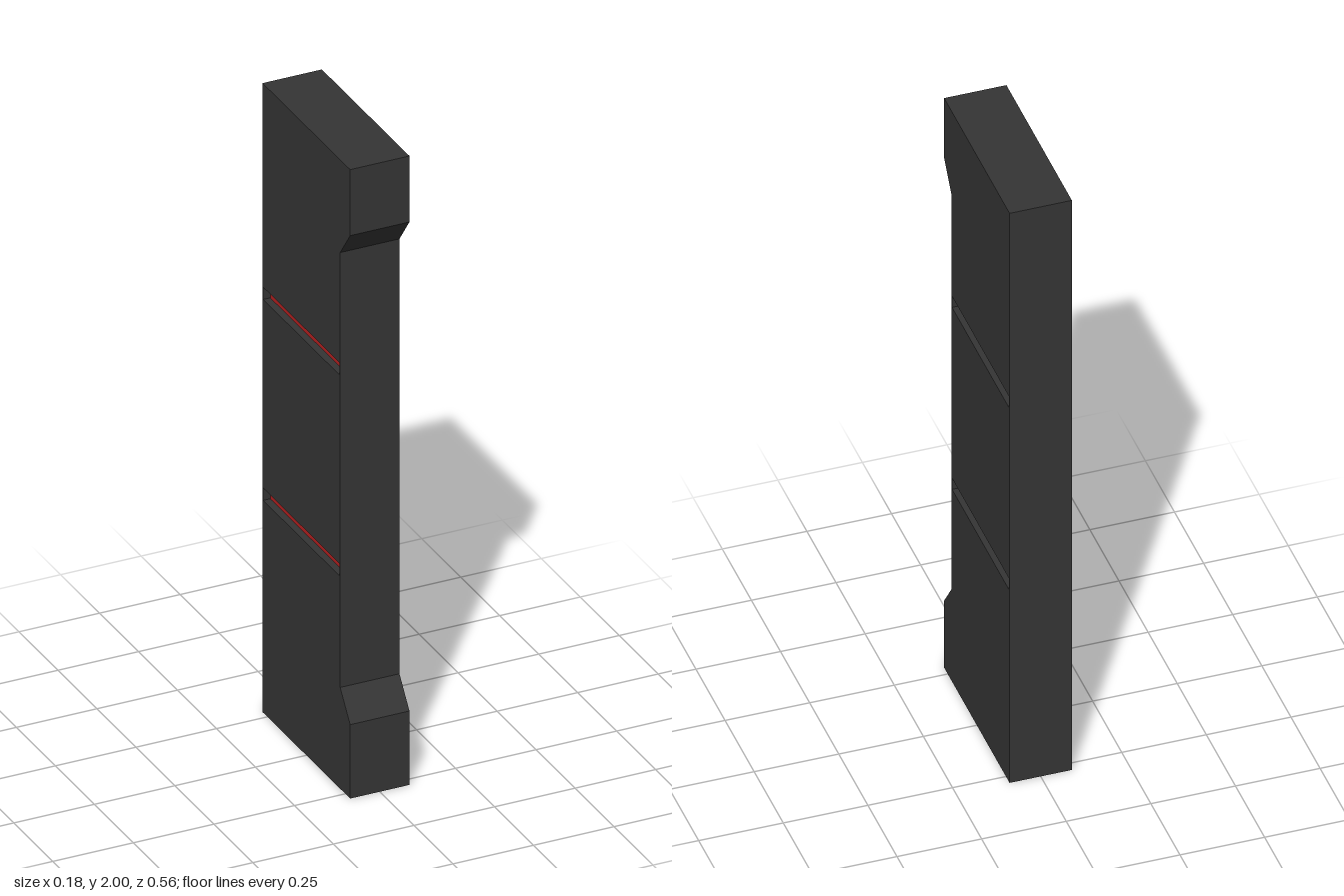
import * as THREE from 'three';

const HALF_W = 0.092, FRONT = 0.281, BACK = -0.281, WAIST = 0.217;
const GROOVE_DEPTH = 0.022, CAP = 0.004;
const GROOVES = [[0.675, 0.714], [1.314, 1.353]];

export function createModel() {
  const model = new THREE.Group();
  const charcoal = new THREE.MeshStandardMaterial({ color: 0x353535 });
  charcoal.name = 'charcoal';
  const red = new THREE.MeshStandardMaterial({ color: 0xb82020 });
  red.name = 'red';

  const add = (name, geometry, material) => {
    const mesh = new THREE.Mesh(geometry, material);
    mesh.name = name;
    model.add(mesh);
  };

  // Extrude a side profile of [z, y] points across the full width
  const slab = (name, points) => {
    const shape = new THREE.Shape(points.map(([z, y]) => new THREE.Vector2(z, y)));
    const geometry = new THREE.ExtrudeGeometry(shape, { depth: HALF_W * 2, bevelEnabled: false });
    geometry.translate(0, 0, -HALF_W).rotateY(-Math.PI / 2);
    add(name, geometry, charcoal);
  };

  const box = (name, halfW, y0, y1, z0, z1, material) => {
    const geometry = new THREE.BoxGeometry(halfW * 2, y1 - y0, z1 - z0);
    geometry.translate(0, (y0 + y1) / 2, (z0 + z1) / 2);
    add(name, geometry, material);
  };

  const [[a0, a1], [b0, b1]] = GROOVES;

  // Lower and upper ends, with sloped shoulders on the front
  slab('lowerBody', [[BACK, 0], [FRONT, 0], [FRONT, 0.235], [WAIST, 0.322], [WAIST, a0], [BACK, a0]]);
  slab('upperBody', [[BACK, b1], [WAIST, b1], [WAIST, 1.705], [FRONT, 1.79], [FRONT, 2], [BACK, 2]]);
  slab('middleBody', [[BACK, a1], [WAIST, a1], [WAIST, b0], [BACK, b0]]);

  // Red recessed grooves on both sides, closed at the front and back
  for (const [y0, y1] of GROOVES) {
    box('grooveFloor', HALF_W - GROOVE_DEPTH, y0, y1, BACK + CAP, WAIST - CAP, red);
    box('grooveFrontCap', HALF_W, y0, y1, WAIST - CAP, WAIST, charcoal);
    box('grooveBackCap', HALF_W, y0, y1, BACK, BACK + CAP, charcoal);
  }
  return model;
}
